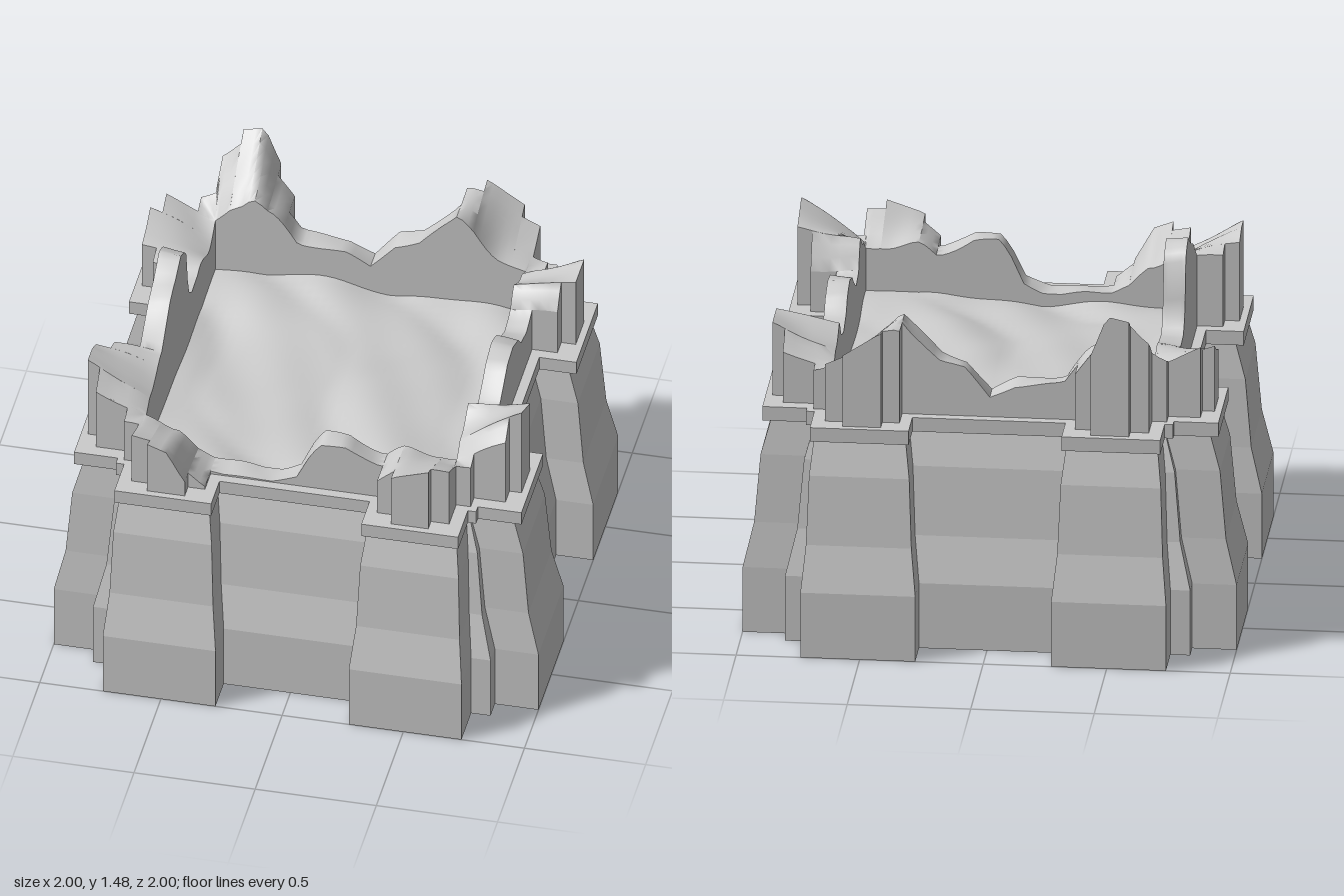
import * as THREE from 'three';
import { toCreasedNormals } from 'three/addons/utils/BufferGeometryUtils.js';

// The base is an open shell, so both sides show
const stone = new THREE.MeshStandardMaterial({ color: 0xcccccc, side: THREE.DoubleSide });
const INNER = 0.64; // half width of the courtyard
const LEDGE = 0.965; // height of the cornice top
const { clamp, lerp, smoothstep } = THREE.MathUtils;

// Repeat one corner's plan points [x, z] around four sides (counterclockwise from above)
function fourCorners(corner) {
  const loop = [];
  let pts = corner;
  for (let i = 0; i < 4; i++) {
    loop.push(...pts);
    pts = pts.map(([x, z]) => [z, -x]);
  }
  return loop;
}

// Add the points mirrored over the corner's diagonal
const mirrorDiagonal = (half, tip) => [...half, tip, ...half.map(([x, z]) => [z, x]).reverse()];

// Plan of the buttressed base, shrunk by d
function basePlan(d) {
  const outer = 1 - d, near = 0.275 + d * 0.45, far = 0.74 - d * 0.4;
  const notch = 0.82 - d, recess = 0.847 - d;
  return fourCorners(mirrorDiagonal(
    [[near, recess], [near, outer], [far, outer], [far, notch]], [notch, notch]));
}

// Stepped plan of the broken upper wall
const wallPlan = fourCorners(mirrorDiagonal([
  [0.355, 0.73], [0.355, 0.835], [0.425, 0.835], [0.425, 0.895], [0.58, 0.895],
  [0.58, 0.845], [0.655, 0.845], [0.655, 0.715]], [0.715, 0.715]));

// Split the edges of a loop into short steps
function subdivide(loop, step) {
  return loop.flatMap(([x, z], i) => {
    const [u, v] = loop[(i + 1) % loop.length];
    const n = Math.max(1, Math.round(Math.hypot(u - x, v - z) / step));
    return Array.from({ length: n }, (_, k) => [x + (u - x) * k / n, z + (v - z) * k / n]);
  });
}

// Skin a stack of closed rings of [x, y, z]
function loft(rings, crease) {
  const n = rings[0].length, index = [];
  for (let r = 0; r < rings.length - 1; r++) {
    for (let i = 0; i < n; i++) {
      const a = r * n + i, b = r * n + (i + 1) % n;
      index.push(a, b, b + n, a, b + n, a + n);
    }
  }
  const g = new THREE.BufferGeometry();
  g.setAttribute('position', new THREE.Float32BufferAttribute(rings.flat(2), 3));
  g.setIndex(index);
  return toCreasedNormals(g, crease);
}

// Broken skyline of each side: [position along side, height]
const skyline = {
  front: [[-0.72, 1.23], [-0.58, 1.2], [-0.5, 1.17], [-0.43, 1.04], [-0.36, 0.98], [-0.3, 0.967],
    [-0.1, 0.975], [0, 1.01], [0.06, 1.13], [0.1, 1.18], [0.2, 1.19], [0.35, 1.12], [0.43, 1.2],
    [0.58, 1.25], [0.72, 1.24]],
  back: [[-0.72, 1.33], [-0.64, 1.39], [-0.58, 1.46], [-0.49, 1.48], [-0.43, 1.32], [-0.36, 1.21],
    [-0.3, 1.12], [-0.1, 1.1], [0, 1.05], [0.1, 1.17], [0.2, 1.2], [0.33, 1.33], [0.36, 1.37],
    [0.43, 1.37], [0.58, 1.27], [0.72, 1.2]],
  plusX: [[-0.72, 1.19], [-0.65, 1.2], [-0.58, 1.28], [-0.42, 1.28], [-0.35, 1.16], [-0.25, 1.13],
    [-0.15, 1.15], [-0.1, 1.2], [0, 1.24], [0.1, 1.23], [0.25, 1.13], [0.35, 1.13], [0.42, 1.3],
    [0.58, 1.37], [0.65, 1.29], [0.72, 1.24]],
  minusX: [[-0.72, 1.33], [-0.5, 1.2], [-0.3, 1.13], [-0.2, 1.14], [-0.13, 1.21], [-0.12, 1.4],
    [-0.07, 1.46], [0, 1.485], [0.1, 1.42], [0.2, 1.38], [0.35, 1.27], [0.5, 1.34], [0.58, 1.34],
    [0.65, 1.27], [0.72, 1.23]],
};

function sample(profile, t) {
  const last = profile.length - 1;
  if (t <= profile[0][0]) return profile[0][1];
  if (t >= profile[last][0]) return profile[last][1];
  const i = profile.findIndex(p => p[0] > t);
  const [t0, h0] = profile[i - 1], [t1, h1] = profile[i];
  return lerp(h0, h1, (t - t0) / (t1 - t0));
}

// Height of the ruined wall at a plan point, sinking towards the courtyard at the buttresses
function wallHeight(x, z) {
  const ax = Math.abs(x), az = Math.abs(z);
  const alongX = sample(z > 0 ? skyline.front : skyline.back, x);
  const alongZ = sample(x > 0 ? skyline.plusX : skyline.minusX, z);
  const h = lerp(alongZ, alongX, smoothstep(az - ax, -0.1, 0.1));
  const inward = 1 - clamp((Math.max(ax, az) - INNER) / 0.25, 0, 1);
  const sag = 0.45 * inward * smoothstep(Math.min(ax, az), 0.33, 0.55);
  const rough = 0.015 * inward * Math.sin(17 * x + 3) * Math.cos(13 * z + 1);
  return Math.max(LEDGE + 0.002, h - (h - 1) * sag + rough);
}

export function createModel() {
  const model = new THREE.Group();
  const add = (name, geometry) => {
    const mesh = new THREE.Mesh(geometry, stone);
    mesh.name = name;
    model.add(mesh);
  };

  // Battered base, open below
  const batter = [[0, 0], [0.28, 0], [0.47, 0.045], [0.76, 0.07], [0.905, 0.11]];
  add('base', loft(batter.map(([y, d]) => basePlan(d).map(([x, z]) => [x, y, z])), 0.02));

  // Cornice ring between base and upper wall
  const toPoints = loop => loop.map(([x, z]) => new THREE.Vector2(x, -z));
  const ring = new THREE.Shape(toPoints(basePlan(0.077)));
  ring.holes.push(new THREE.Path(toPoints(wallPlan)));
  const cornice = new THREE.ExtrudeGeometry(ring, { depth: 0.06, bevelEnabled: false });
  add('cornice', cornice.rotateX(-Math.PI / 2).translate(0, LEDGE - 0.06, 0));

  // Broken upper wall: outer face, ragged top and courtyard face
  const plan = subdivide(wallPlan, 0.025);
  const toInner = v => clamp(v, -INNER, INNER);
  const topRow = k => plan.map(([x, z]) => {
    const px = lerp(x, toInner(x), k), pz = lerp(z, toInner(z), k);
    return [px, wallHeight(px, pz), pz];
  });
  const atHeight = (row, y) => row.map(([x, , z]) => [x, y, z]);
  const rows = [0, 0.2, 0.4, 0.6, 0.8, 1].map(topRow);
  add('wallOuterFace', loft([atHeight(rows[0], LEDGE - 0.06), rows[0]], 0.3));
  add('wallBrokenTop', loft(rows, 1));
  add('wallCourtyardFace', loft([rows[5], atHeight(rows[5], 0.88)], 0.3));

  // Uneven rubble floor
  const floor = new THREE.PlaneGeometry(2 * INNER, 2 * INNER, 36, 36).rotateX(-Math.PI / 2);
  const p = floor.attributes.position;
  for (let i = 0; i < p.count; i++) {
    const x = p.getX(i), z = p.getZ(i);
    const mounds = Math.sin(5 * x + 2 * z + 1) * Math.cos(6 * z - 2 * x);
    const ridges = Math.abs(Math.sin(6 * x - 4 * z + Math.sin(5 * z))) - 0.6;
    const lumps = Math.sin(14 * x + 3 * z) * Math.sin(11 * z - 4 * x + 2);
    p.setY(i, 0.935 + 0.022 * mounds + 0.02 * ridges + 0.01 * lumps);
  }
  floor.computeVertexNormals();
  add('rubbleFloor', floor);

  return model;
}
